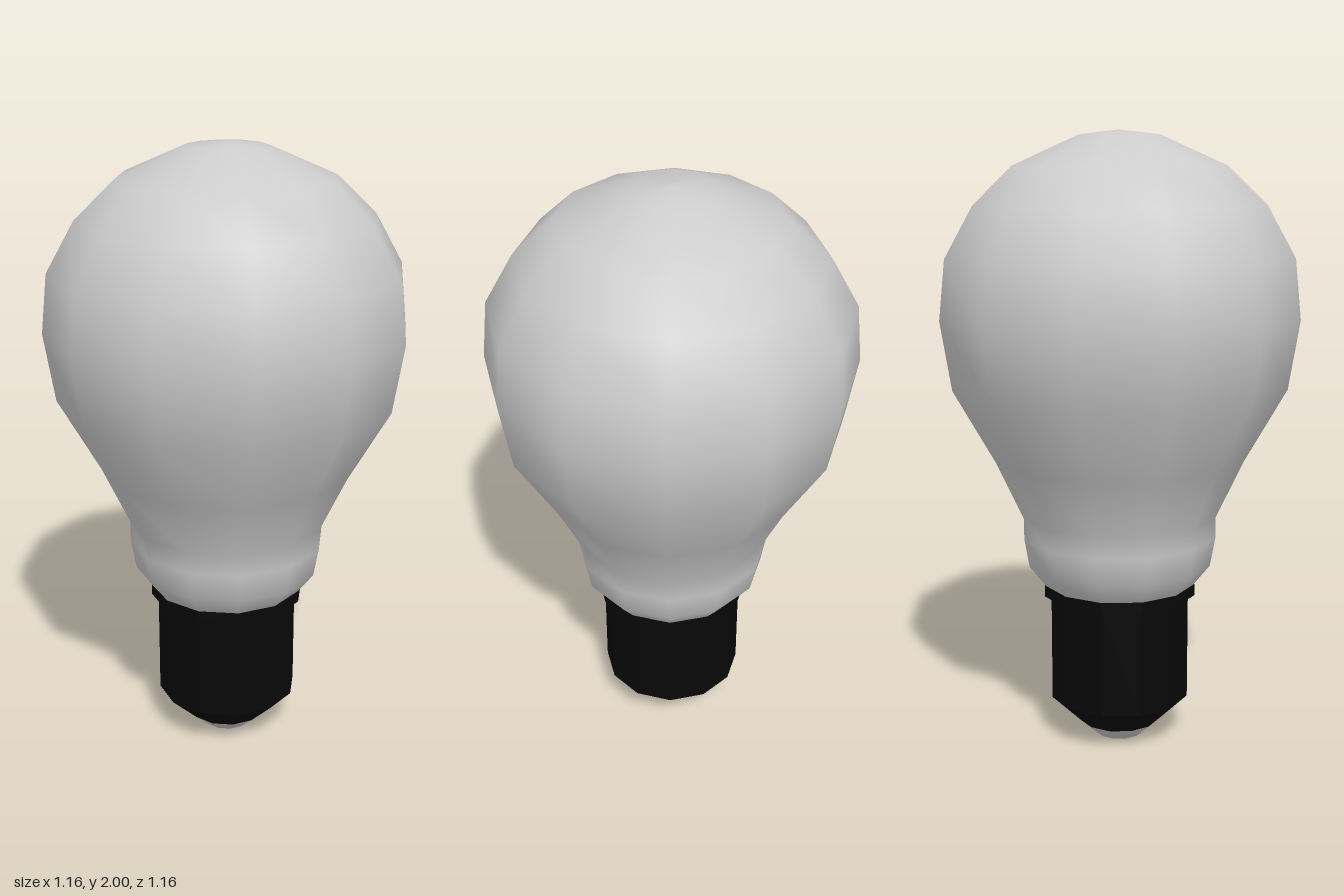
import * as THREE from 'three';

const SIDES = 12;

// Turned part from [radius, height] points listed bottom to top
function turned(name, points, color, flatShading = false) {
  const profile = points.map(([r, y]) => new THREE.Vector2(r, y));
  const mesh = new THREE.Mesh(
    new THREE.LatheGeometry(profile, SIDES),
    new THREE.MeshStandardMaterial({ color, flatShading })
  );
  mesh.name = name;
  return mesh;
}

export function createModel() {
  const group = new THREE.Group();
  group.name = 'lightBulb';

  // Smooth glass envelope, from the neck to the crown
  group.add(turned('glassBulb', [
    [0.25, 0.535], [0.305, 0.605], [0.322, 0.7], [0.322, 0.77], [0.41, 0.96],
    [0.545, 1.2], [0.58, 1.42], [0.56, 1.61], [0.47, 1.77], [0.345, 1.89],
    [0.13, 1.985], [0, 2],
  ], 0xcccccc));

  // Black screw base: tapered foot, straight barrel and projecting collar
  group.add(turned('screwBase', [
    [0, 0.05], [0.135, 0.05], [0.233, 0.145], [0.233, 0.5],
    [0.255, 0.5], [0.255, 0.535], [0.2, 0.535],
  ], 0x080808, true));

  // Metal contact at the very bottom
  group.add(turned('contactTip', [[0, 0], [0.08, 0], [0.135, 0.05]], 0xcccccc));

  return group;
}
